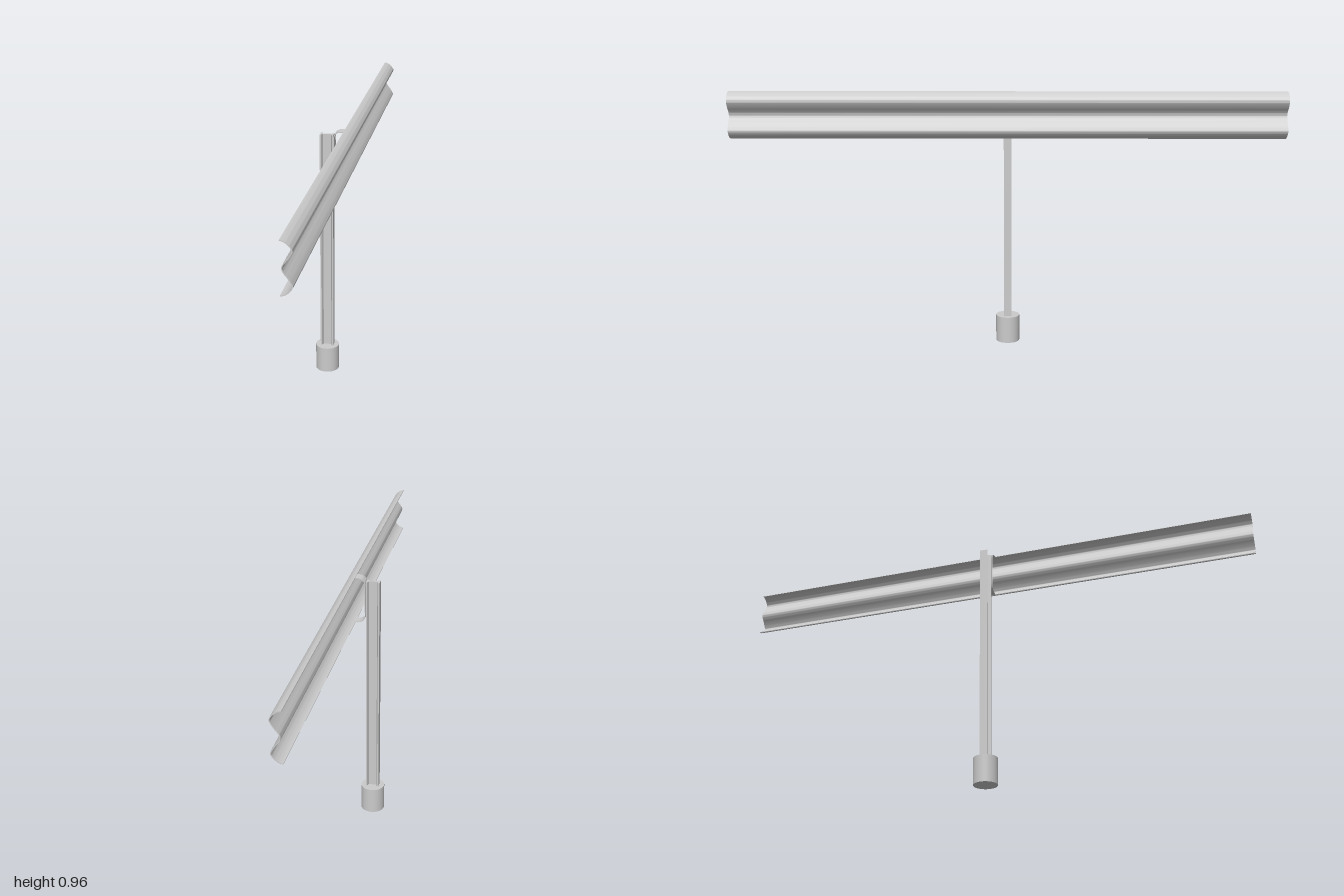
import * as THREE from 'three';
import { toCreasedNormals } from 'three/addons/utils/BufferGeometryUtils.js';

const MID = 0.871; // height of the rail's centre line

// Bent sheet: a smooth x/y profile given a thickness and extruded along z
function sheet(points, thickness, length, divisions) {
  const curve = new THREE.CatmullRomCurve3(points.map(([x, y]) => new THREE.Vector3(x, MID + y, 0)), false, 'centripetal');
  const outer = [], inner = [];
  for (let i = 0; i <= divisions; i++) {
    const p = curve.getPoint(i / divisions), t = curve.getTangent(i / divisions);
    const nx = -t.y * thickness / 2, ny = t.x * thickness / 2;
    outer.push(new THREE.Vector2(p.x + nx, p.y + ny));
    inner.unshift(new THREE.Vector2(p.x - nx, p.y - ny));
  }
  return extrude(new THREE.Shape([...outer, ...inner]), length);
}

function extrude(shape, length) {
  const g = new THREE.ExtrudeGeometry(shape, { depth: length, bevelEnabled: false });
  g.translate(0, 0, -length / 2);
  return toCreasedNormals(g, 0.7);
}

// Complete a half profile (listed top to middle) by mirroring it in y
const mirrorY = (half) => [...half, ...half.slice(0, -1).reverse().map(([x, y]) => [x, -y])];

export function createModel() {
  const model = new THREE.Group();
  const material = new THREE.MeshStandardMaterial({ color: 0xcccccc, side: THREE.DoubleSide });
  const add = (name, geometry) => {
    const mesh = new THREE.Mesh(geometry, material);
    mesh.name = name;
    model.add(mesh);
    return mesh;
  };

  // Double-wave rail
  add('rail', sheet(mirrorY([
    [0.033, 0.084], [0.044, 0.081], [0.055, 0.074], [0.065, 0.063],
    [0.069, 0.053], [0.065, 0.043], [0.054, 0.026], [0.043, 0.012], [0.039, 0],
  ]), 0.003, 2, 48));

  // C-shaped bracket between post and rail
  add('bracket', sheet(mirrorY([
    [0.039, 0.082], [0.028, 0.083], [0.015, 0.081], [0.004, 0.074], [-0.002, 0.062], [-0.002, 0.03], [-0.002, 0],
  ]), 0.003, 0.037, 40));

  // I-section post with tapered flanges, stood upright
  const half = [[0.0245, 0.0145], [0.0195, 0.0145], [0.0145, 0.003]];
  const top = [...half, ...half.map(([x, z]) => [-x, z]).reverse()];
  const section = [...top, ...top.map(([x, z]) => [x, -z]).reverse()];
  const post = add('post', extrude(new THREE.Shape(section.map(([x, z]) => new THREE.Vector2(x, z))), 0.93));
  post.rotation.x = -Math.PI / 2;
  post.position.set(-0.0285, 0.475, 0);

  // Round footing
  add('footing', new THREE.CylinderGeometry(0.044, 0.044, 0.1, 32)).position.set(-0.029, 0.05, 0);

  return model;
}
